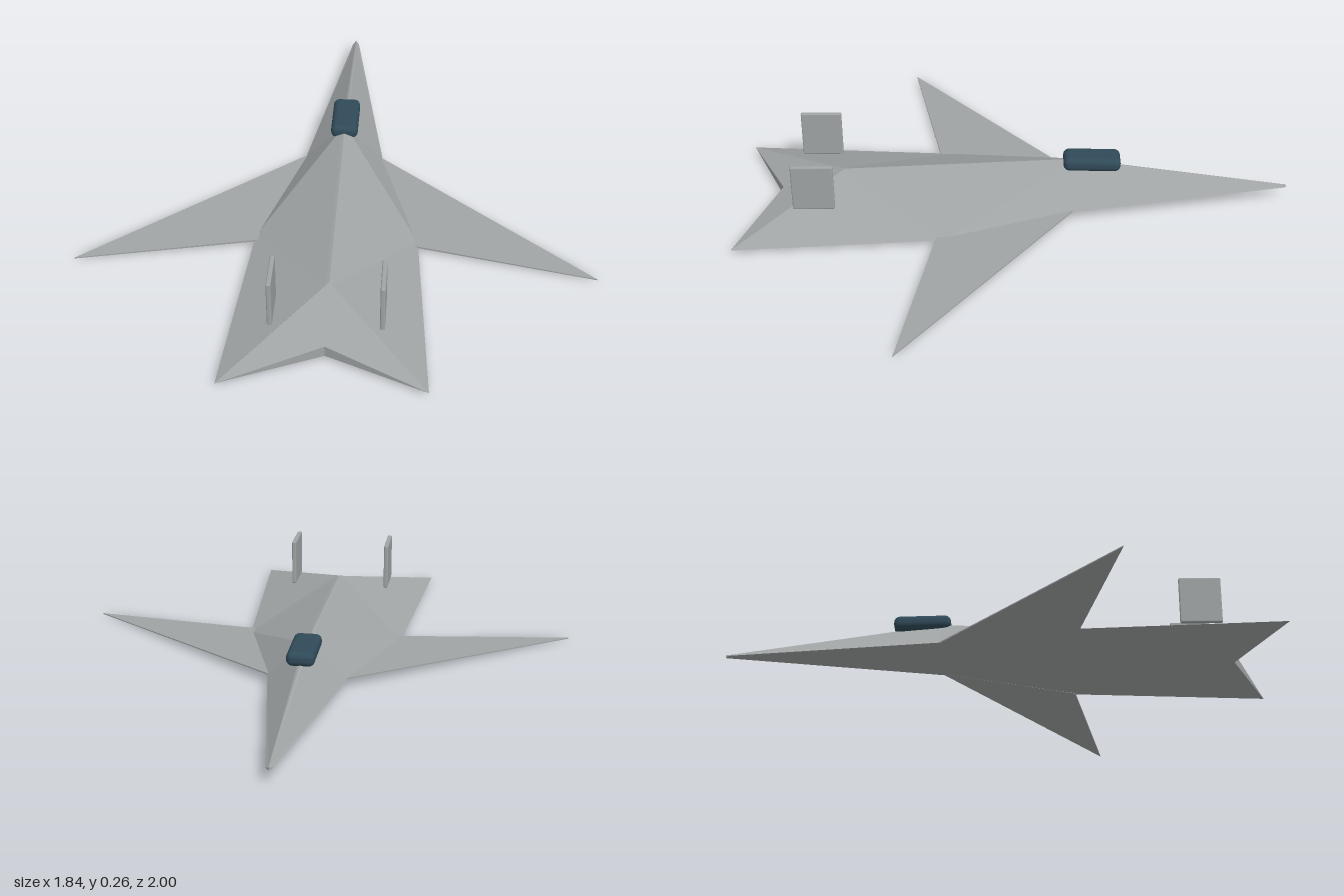
import * as THREE from 'three';
import { RoundedBoxGeometry } from 'three/addons/geometries/RoundedBoxGeometry.js';

// Flat-faced geometry from named points; each face is a fan of corners.
function facets(points, faces, mirrorSides) {
  const pos = [];
  const addFace = (names, sx) => {
    const c = names.split(' ').map((n) => points[n]);
    for (let i = 1; i < c.length - 1; i++) {
      const tri = sx > 0 ? [c[0], c[i], c[i + 1]] : [c[0], c[i + 1], c[i]];
      tri.forEach(([x, y, z]) => pos.push(x * sx, y, z));
    }
  };
  for (const sx of mirrorSides) faces.forEach((f) => addFace(f, sx));
  const g = new THREE.BufferGeometry();
  g.setAttribute('position', new THREE.Float32BufferAttribute(pos, 3));
  g.computeVertexNormals();
  return g;
}

export function createModel() {
  const model = new THREE.Group();
  model.name = 'jet';
  const grey = new THREE.MeshStandardMaterial({ name: 'hull grey', color: 0xa0a4a4 });
  const glass = new THREE.MeshStandardMaterial({ name: 'canopy blue', color: 0x304a58 });

  const add = (name, geometry, material, x = 0, y = 0, z = 0) => {
    const mesh = new THREE.Mesh(geometry, material);
    mesh.name = name;
    mesh.position.set(x, y, z);
    model.add(mesh);
    return mesh;
  };

  // Fuselage: one half described, then mirrored; the nose points to -z
  const hull = {
    noseTop: [0, 0.057, -1], noseEdge: [0.012, 0.05, -0.985], noseBase: [0, 0.046, -1],
    peak: [0, 0.172, -0.21], peakSide: [0.012, 0.167, -0.21],
    shoulder: [0.145, 0.035, -0.21], shoulderBase: [0, 0.035, -0.21],
    hip: [0.29, 0.016, 0.25], hipBase: [0, 0.016, 0.25],
    ridgeEnd: [0, 0.134, 0.62], ridgeEndSide: [0.012, 0.129, 0.63],
    tail: [0.345, 0.014, 1], notchTop: [0, 0.055, 0.85], notchBase: [0, 0.014, 0.85],
  };
  add('fuselage', facets(hull, [
    'noseTop peak peakSide',
    'noseTop peakSide shoulder noseEdge',
    'noseTop noseEdge noseBase',
    'peak ridgeEnd ridgeEndSide peakSide',
    'peakSide ridgeEndSide hip',
    'peakSide hip shoulder',
    'ridgeEndSide tail hip',
    'ridgeEnd notchTop tail',
    'ridgeEnd tail ridgeEndSide',
    'notchTop notchBase tail',
    'noseBase noseEdge shoulder shoulderBase',
    'shoulderBase shoulder hip hipBase',
    'hipBase hip tail notchBase',
  ], [1, -1]), grey);

  // Swept wings, thin plates
  const wing = {
    leadTop: [0.135, 0.04, -0.215], leadLow: [0.135, 0.035, -0.215],
    tipTop: [0.92, 0.004, 0.4], tipLow: [0.92, 0, 0.4],
    trailTop: [0.28, 0.021, 0.28], trailLow: [0.28, 0.014, 0.28],
  };
  const wingFaces = [
    'leadTop trailTop tipTop',
    'leadLow tipLow trailLow',
    'leadTop tipTop tipLow leadLow',
    'tipTop trailTop trailLow tipLow',
    'trailTop leadTop leadLow trailLow',
  ];

  // Wings and upright tail fins on both sides
  const finGeometry = new RoundedBoxGeometry(0.017, 0.175, 0.15, 2, 0.005);
  for (const [side, sx] of [['left', 1], ['right', -1]]) {
    add(`${side}Wing`, facets(wing, wingFaces, [sx]), grey);
    add(`${side}Fin`, finGeometry, grey, sx * 0.186, 0.173, 0.717);
  }

  // Canopy
  const canopy = add('canopy', new RoundedBoxGeometry(0.1, 0.052, 0.208, 4, 0.022), glass, 0, 0.168, -0.282);
  canopy.rotation.x = -0.02;

  return model;
}
